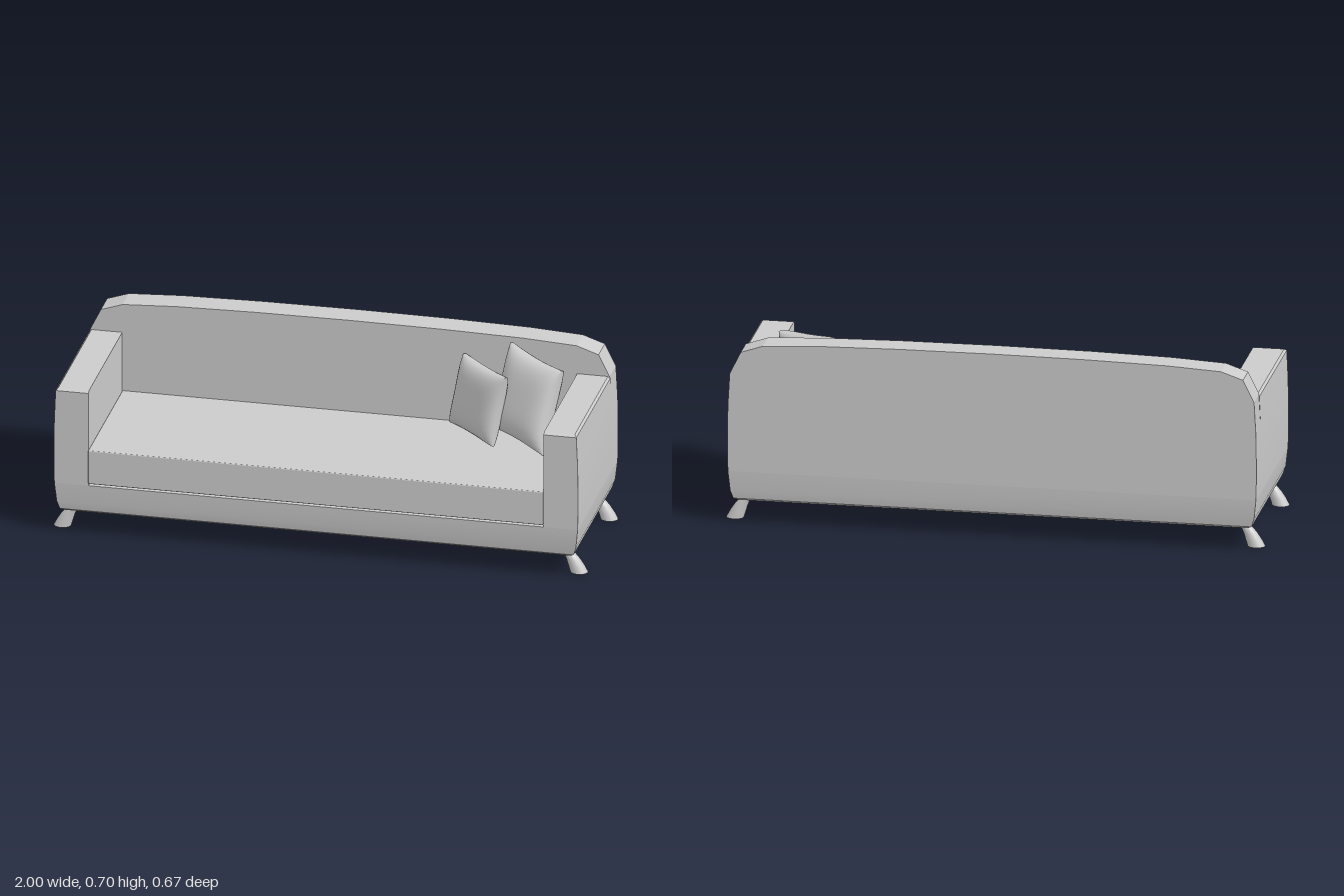
import * as THREE from 'three';
import { mergeVertices, toCreasedNormals } from 'three/addons/utils/BufferGeometryUtils.js';
import { RoundedBoxGeometry } from 'three/addons/geometries/RoundedBoxGeometry.js';

const material = new THREE.MeshStandardMaterial({ color: 0xcccccc });

function add(parent, name, geometry) {
  const mesh = new THREE.Mesh(geometry, material);
  mesh.name = name;
  parent.add(mesh);
  return mesh;
}

// Skin a stack of horizontal rings (bottom to top), each a loop of [x, z], and cap both ends.
function loft(levels, crease) {
  const pos = [], idx = [], n = levels[0].ring.length;
  for (const { y, ring } of levels) for (const [x, z] of ring) pos.push(x, y, z);
  for (let l = 0; l < levels.length - 1; l++) {
    for (let i = 0; i < n; i++) {
      const a = l * n + i, b = l * n + (i + 1) % n;
      idx.push(a, b, b + n, a, b + n, a + n);
    }
  }
  const top = (levels.length - 1) * n;
  for (let i = 1; i < n - 1; i++) idx.push(0, i + 1, i, top, top + i, top + i + 1);
  const g = new THREE.BufferGeometry();
  g.setAttribute('position', new THREE.Float32BufferAttribute(pos, 3));
  g.setIndex(idx);
  return toCreasedNormals(g, crease);
}

// Rectangular ring, ordered so that lofted walls face outwards
const rect = (y, x0, x1, z0, z1) => ({ y, ring: [[x0, z1], [x1, z1], [x1, z0], [x0, z0]] });

// Round section of a splayed leg
function legRing(y, cx, r) {
  const ring = [];
  for (let i = 0; i < 20; i++) {
    const a = (i / 20) * Math.PI * 2;
    ring.push([cx + r * 1.12 * Math.cos(a), -r * Math.sin(a)]);
  }
  return { y, ring };
}

// Cushion stretched along a width vector and an up vector, puffed along their normal
function pillow(center, width, up, thickness) {
  const g = new THREE.BoxGeometry(2, 2, 2, 16, 16, 1);
  g.deleteAttribute('uv');
  g.deleteAttribute('normal');
  const p = g.attributes.position;
  for (let i = 0; i < p.count; i++) {
    // pack grid lines towards the rim, where the surface curves most
    const u = Math.sin(p.getX(i) * Math.PI / 2), v = Math.sin(p.getY(i) * Math.PI / 2);
    const puff = Math.sqrt(Math.max(0, (1 - u ** 4) * (1 - v ** 4)));
    p.setXYZ(i,
      u * (1 - 0.06 * (1 - v * v)),
      v * (1 - 0.06 * (1 - u * u)),
      p.getZ(i) * (0.12 + 0.88 * puff));
  }
  const w = new THREE.Vector3(...width), h = new THREE.Vector3(...up);
  const n = new THREE.Vector3().crossVectors(w, h).setLength(thickness / 2);
  g.applyMatrix4(new THREE.Matrix4().makeBasis(w.multiplyScalar(0.5), h.multiplyScalar(0.5), n));
  g.translate(...center);
  const merged = mergeVertices(g, 1e-4);
  merged.computeVertexNormals();
  return merged;
}

export function createModel() {
  const sofa = new THREE.Group();
  sofa.name = 'sofa';

  // Base with a rolled-under bottom edge: y, half width, front z, back z
  const base = [
    [0.083, 0.945, 0.298, -0.306],
    [0.094, 0.962, 0.314, -0.323],
    [0.125, 0.972, 0.321, -0.329],
    [0.2, 0.98, 0.326, -0.333],
  ];
  add(sofa, 'base', loft(base.map(([y, x, f, b]) => rect(y, -x, x, b, f)), 0.4));

  // Arms, bulging slightly outwards: y, outer x, front z
  const arm = [
    [0.2, 0.98, 0.326],
    [0.3, 0.982, 0.326],
    [0.45, 0.98, 0.326],
    [0.567, 0.975, 0.326],
    [0.575, 0.967, 0.314],
  ];
  for (const s of [1, -1]) {
    const levels = arm.map(([y, x, f]) => (s > 0
      ? rect(y, 0.852, x, -0.235, f)
      : rect(y, -x, -0.852, -0.235, f)));
    add(sofa, s > 0 ? 'leftArm' : 'rightArm', loft(levels, 0.4));
  }

  // Backrest with clipped shoulders and a gently arched top
  const half = [[0.98, 0.2], [0.982, 0.3], [0.98, 0.45], [0.973, 0.575],
    [0.932, 0.658], [0.85, 0.686], [0.65, 0.697], [0.35, 0.703]];
  const outline = [...half, [0, 0.705], ...half.map(([x, y]) => [-x, y]).reverse()];
  const backGeo = new THREE.ExtrudeGeometry(
    new THREE.Shape(outline.map(([x, y]) => new THREE.Vector2(x, y))),
    { depth: 0.104, bevelEnabled: false });
  backGeo.translate(0, 0, -0.333);
  add(sofa, 'backrest', toCreasedNormals(backGeo, 0.25));

  // Seat cushion, just proud of the base
  add(sofa, 'seatCushion', new RoundedBoxGeometry(1.704, 0.133, 0.569, 2, 0.004))
    .position.set(0, 0.2765, 0.0505);

  // Curved, splayed legs: y, centre x, radius
  const legProfile = [
    [0, 0.9675, 0.029],
    [0.025, 0.957, 0.0265],
    [0.05, 0.945, 0.0225],
    [0.07, 0.932, 0.019],
    [0.083, 0.92, 0.017],
    [0.1, 0.903, 0.016],
  ];
  const legGeo = loft(legProfile.map((l) => legRing(...l)), 0.8);
  for (const s of [1, -1]) {
    for (const z of [0.245, -0.252]) {
      const leg = add(sofa, (z > 0 ? 'front' : 'back') + (s > 0 ? 'Left' : 'Right') + 'Leg', legGeo);
      leg.position.z = z;
      leg.rotation.y = s > 0 ? 0 : Math.PI;
    }
  }

  // Two throw pillows leaning in the left corner
  add(sofa, 'frontPillow', pillow([0.51, 0.487, -0.112], [0.2, 0, 0.185], [0.045, 0.265, -0.03], 0.09));
  add(sofa, 'cornerPillow', pillow([0.7, 0.523, -0.08], [0.225, -0.03, 0.15], [0.05, 0.3, -0.1], 0.11));

  return sofa;
}
